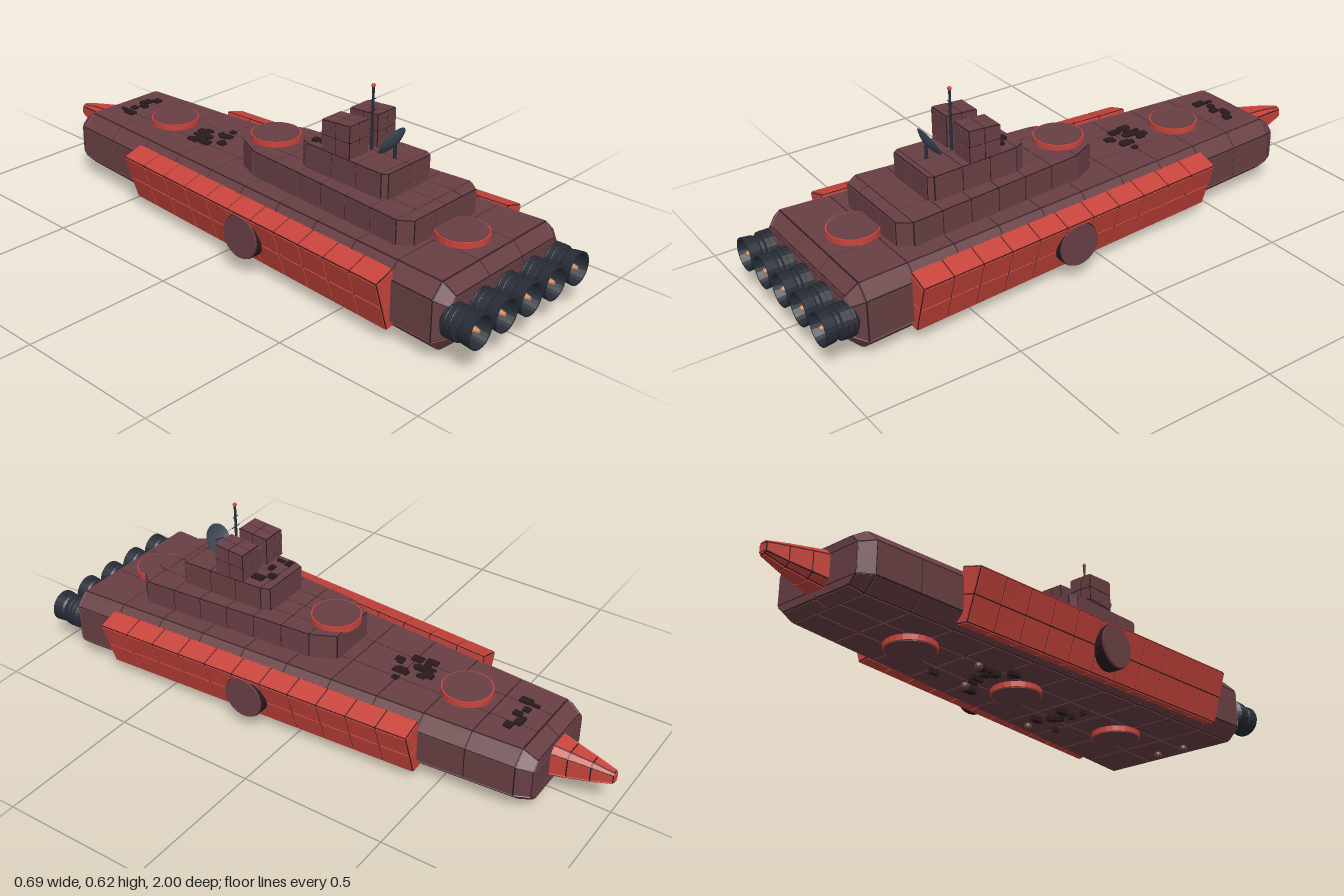
import * as THREE from 'three';

const mat = (color, double) => new THREE.MeshStandardMaterial({
  color, flatShading: true, side: double ? THREE.DoubleSide : THREE.FrontSide });
const MAROON = mat(0x683f44), RED = mat(0xc8443c), SEAM = mat(0x2a1a1d);
const STEEL = mat(0x262b36, true), ORANGE = mat(0xcc875a), DISH = mat(0x434c5a, true);
const V = (x, y, z) => new THREE.Vector3(x, y, z);

// seeded random numbers for the small deck details
let seed = 7;
const rand = () => (seed = (seed * 16807) % 2147483647) / 2147483647;

function mesh(parent, name, geometry, material, x = 0, y = 0, z = 0) {
  const m = new THREE.Mesh(geometry, material);
  m.name = name;
  m.position.set(x, y, z);
  parent.add(m);
  return m;
}

function fromQuads(quads) {
  const pos = [];
  for (const [a, b, c, d] of quads)
    for (const p of [a, b, c, a, c, d]) pos.push(p.x, p.y, p.z);
  const g = new THREE.BufferGeometry();
  g.setAttribute('position', new THREE.Float32BufferAttribute(pos, 3));
  g.computeVertexNormals();
  return g;
}

// a raised plate, set in from the edges of a quad
function addPlate(quads, a, b, c, d) {
  const GAP = 0.0022, H = 0.003;
  const n = V().crossVectors(c.clone().sub(a), d.clone().sub(b)).normalize().multiplyScalar(H);
  const toward = (p, q) => q.clone().sub(p).clampLength(0, Math.min(GAP, p.distanceTo(q) * 0.3));
  const base = [a, b, c, d];
  const low = base.map((p, i) =>
    p.clone().add(toward(p, base[(i + 1) % 4])).add(toward(p, base[(i + 3) % 4])));
  const high = low.map(p => p.clone().add(n));
  quads.push(high);
  for (let i = 0; i < 4; i++) {
    const k = (i + 1) % 4;
    quads.push([low[i], low[k], high[k], high[i]]);
  }
}

// body lofted through rings (rear +z to bow -z), covered with plates
function platedLoft(parent, name, rings, material, cell) {
  const faces = [], core = [], plates = [], n = rings[0].length;
  for (let r = 0; r + 1 < rings.length; r++)
    for (let j = 0; j < n; j++) {
      const k = (j + 1) % n, A = rings[r], B = rings[r + 1];
      faces.push([A[j], B[j], B[k], A[k]]);
    }
  const last = rings[rings.length - 1];
  for (let k = 0; k < n / 2 - 1; k++) {
    const id = [k, k + 1, n - 2 - k, n - 1 - k];
    faces.push(id.map(i => rings[0][i]), id.map(i => last[i]).reverse());
  }
  for (const [a, b, c, d] of faces) {
    core.push([a, b, c, d]);
    const nu = Math.max(1, Math.round(a.distanceTo(b) / cell));
    const nv = Math.max(1, Math.round(Math.max(a.distanceTo(d), b.distanceTo(c)) / cell));
    const at = (u, v) => a.clone().lerp(b, u / nu).lerp(d.clone().lerp(c, u / nu), v / nv);
    for (let u = 0; u < nu; u++)
      for (let v = 0; v < nv; v++)
        addPlate(plates, at(u, v), at(u + 1, v), at(u + 1, v + 1), at(u, v + 1));
  }
  const g = new THREE.Group();
  g.name = name;
  mesh(g, name + 'Core', fromQuads(core), SEAM);
  mesh(g, name + 'Plates', fromQuads(plates), material);
  parent.add(g);
  return g;
}

const octagon = (z, w, y0, y1, c) => [
  V(w - c, y0, z), V(w, y0 + c, z), V(w, y1 - c, z), V(w - c, y1, z),
  V(c - w, y1, z), V(-w, y1 - c, z), V(-w, y0 + c, z), V(c - w, y0, z)];
const box = (z, x0, x1, y0, y1) => [V(x1, y0, z), V(x1, y1, z), V(x0, y1, z), V(x0, y0, z)];

// round pad with a coloured rim
function addPad(parent, name, y, z, h) {
  mesh(parent, name, new THREE.CylinderGeometry(0.078, 0.078, h + 0.004, 24), MAROON, 0, y, z);
  mesh(parent, name + 'Rim', new THREE.CylinderGeometry(0.083, 0.083, h, 24), RED, 0, y, z);
}

export function createModel() {
  const ship = new THREE.Group();
  ship.name = 'ship';

  // main hull
  platedLoft(ship, 'hull', [
    octagon(0.907, 0.258, 0.062, 0.206, 0.025),
    octagon(0.87, 0.29, 0.028, 0.244, 0.042),
    octagon(-0.76, 0.187, 0.042, 0.23, 0.042),
    octagon(-0.807, 0.16, 0.055, 0.2, 0.025)], MAROON, 0.17);

  // pointed bow
  platedLoft(ship, 'bow', [
    octagon(-0.79, 0.056, 0.075, 0.194, 0.02),
    octagon(-0.93, 0.028, 0.1, 0.17, 0.012),
    octagon(-0.997, 0.014, 0.118, 0.155, 0.006)], RED, 0.06);

  for (const s of [1, -1]) {
    // slanted side armour
    const section = (z, x, top) => {
      const ring = [V(x - 0.09, 0.05, z), V(x - 0.052, 0.045, z),
        V(x, top - 0.022, z), V(x - 0.07, top, z)];
      return s > 0 ? ring : ring.map(p => V(-p.x, p.y, p.z)).reverse();
    };
    platedLoft(ship, s > 0 ? 'leftArmour' : 'rightArmour',
      [section(0.717, 0.344, 0.233), section(-0.437, 0.274, 0.227)], RED, 0.105);
    // side disc
    const disc = mesh(ship, 'sideDisc', new THREE.CylinderGeometry(0.07, 0.07, 0.1, 24),
      MAROON, s * 0.265, 0.135, 0.148);
    disc.rotation.z = Math.PI / 2;
    const rim = mesh(ship, 'sideDiscRim', new THREE.CylinderGeometry(0.073, 0.073, 0.09, 24),
      SEAM, s * 0.263, 0.135, 0.148);
    rim.rotation.z = Math.PI / 2;
    // bridge towers
    platedLoft(ship, s > 0 ? 'leftTower' : 'rightTower', [
      [0.403, 0.408, 0.515], [0.293, 0.414, 0.507]].map(([z, y0, y1]) =>
      box(z, s > 0 ? 0.022 : -0.105, s > 0 ? 0.105 : -0.022, y0, y1)), MAROON, 0.055);
  }

  // stepped superstructure
  platedLoft(ship, 'lowerDeck', [[0.687, 0.143], [0.645, 0.176], [0.02, 0.125], [-0.062, 0.085]]
    .map(([z, w]) => box(z, -w, w, 0.235, 0.323)), MAROON, 0.1);
  platedLoft(ship, 'upperDeck', [[0.547, 0.095], [0.53, 0.109], [0.23, 0.098], [0.2, 0.085]]
    .map(([z, w]) => box(z, -w, w, 0.323, 0.406)), MAROON, 0.09);
  mesh(ship, 'bridgeLink', new THREE.BoxGeometry(0.06, 0.07, 0.06), MAROON, 0, 0.44, 0.34);

  // pads above and below
  for (const [y, z] of [[0.254, 0.75], [0.332, 0], [0.244, -0.49]]) addPad(ship, 'topPad', y, z, 0.024);
  for (const [y, z] of [[0.021, 0.55], [0.026, 0.03], [0.03, -0.44]]) addPad(ship, 'bottomPad', y, z, 0.022);

  // engines
  const nozzle = [[0.03, -0.02], [0.054, 0], [0.054, 0.042], [0.046, 0.046], [0.046, 0.056],
    [0.05, 0.062], [0.054, 0.098], [0.048, 0.098], [0.04, 0.055], [0.001, 0.05]]
    .map(([r, h]) => new THREE.Vector2(r, h));
  for (let i = -2; i <= 2; i++) {
    const engine = new THREE.Group();
    engine.name = 'engine';
    engine.position.set(i * 0.12, 0.137, 0.902);
    engine.rotation.x = Math.PI / 2;
    mesh(engine, 'nozzle', new THREE.LatheGeometry(nozzle, 24), STEEL);
    mesh(engine, 'engineCone', new THREE.CylinderGeometry(0.006, 0.016, 0.045, 16), ORANGE, 0, 0.07, 0);
    for (const h of [0.012, 0.03]) {
      const ring = mesh(engine, 'nozzleRing', new THREE.TorusGeometry(0.053, 0.002, 5, 24), SEAM, 0, h, 0);
      ring.rotation.x = Math.PI / 2;
    }
    ship.add(engine);
  }

  // mast
  mesh(ship, 'mast', new THREE.CylinderGeometry(0.004, 0.005, 0.205, 8), STEEL, 0, 0.508, 0.4);
  mesh(ship, 'mastLamp', new THREE.SphereGeometry(0.007, 8, 6), RED, 0, 0.616, 0.4);
  for (const [y, w] of [[0.535, 0.038], [0.571, 0.028]])
    mesh(ship, 'mastBar', new THREE.BoxGeometry(w, 0.002, 0.002), STEEL, 0, y, 0.4);

  // dish, tilted up and towards the bow
  mesh(ship, 'dishPost', new THREE.CylinderGeometry(0.005, 0.006, 0.05, 8), STEEL, 0, 0.428, 0.49);
  const dish = new THREE.Group();
  dish.name = 'dish';
  dish.position.set(0, 0.455, 0.49);
  dish.rotation.x = -1.08;
  const bowl = [0.001, 0.02, 0.038, 0.053].map(r => new THREE.Vector2(r, r * r * 5));
  mesh(dish, 'dishBowl', new THREE.LatheGeometry(bowl, 24), DISH);
  mesh(dish, 'dishFeed', new THREE.CylinderGeometry(0.002, 0.002, 0.04, 6), STEEL, 0, 0.02, 0);
  ship.add(dish);

  // small deck details, above and below
  const cluster = (name, count, x, z, dx, dz, y) => {
    for (let i = 0; i < count; i++)
      mesh(ship, name, new THREE.BoxGeometry(0.008 + rand() * 0.02, 0.018, 0.01 + rand() * 0.035),
        SEAM, x + (rand() - 0.5) * dx, y, z + (rand() - 0.5) * dz);
  };
  cluster('deckDetail', 16, 0, -0.28, 0.15, 0.2, 0.235);
  cluster('deckDetail', 8, 0.01, -0.68, 0.18, 0.05, 0.233);
  cluster('upperDeckDetail', 6, 0, 0.25, 0.14, 0.05, 0.408);
  cluster('keelDetail', 10, 0, -0.17, 0.2, 0.2, 0.028);
  cluster('keelDetail', 8, 0, 0.3, 0.25, 0.15, 0.024);

  // domes under the hull
  for (const [x, z] of [[-0.108, 0.8], [0.155, 0.27], [0, 0.8], [0.08, -0.12], [-0.06, -0.21]])
    mesh(ship, 'keelDome', new THREE.SphereGeometry(0.014, 10, 8), MAROON, x, z < 0 ? 0.024 : 0.014, z);

  return ship;
}
